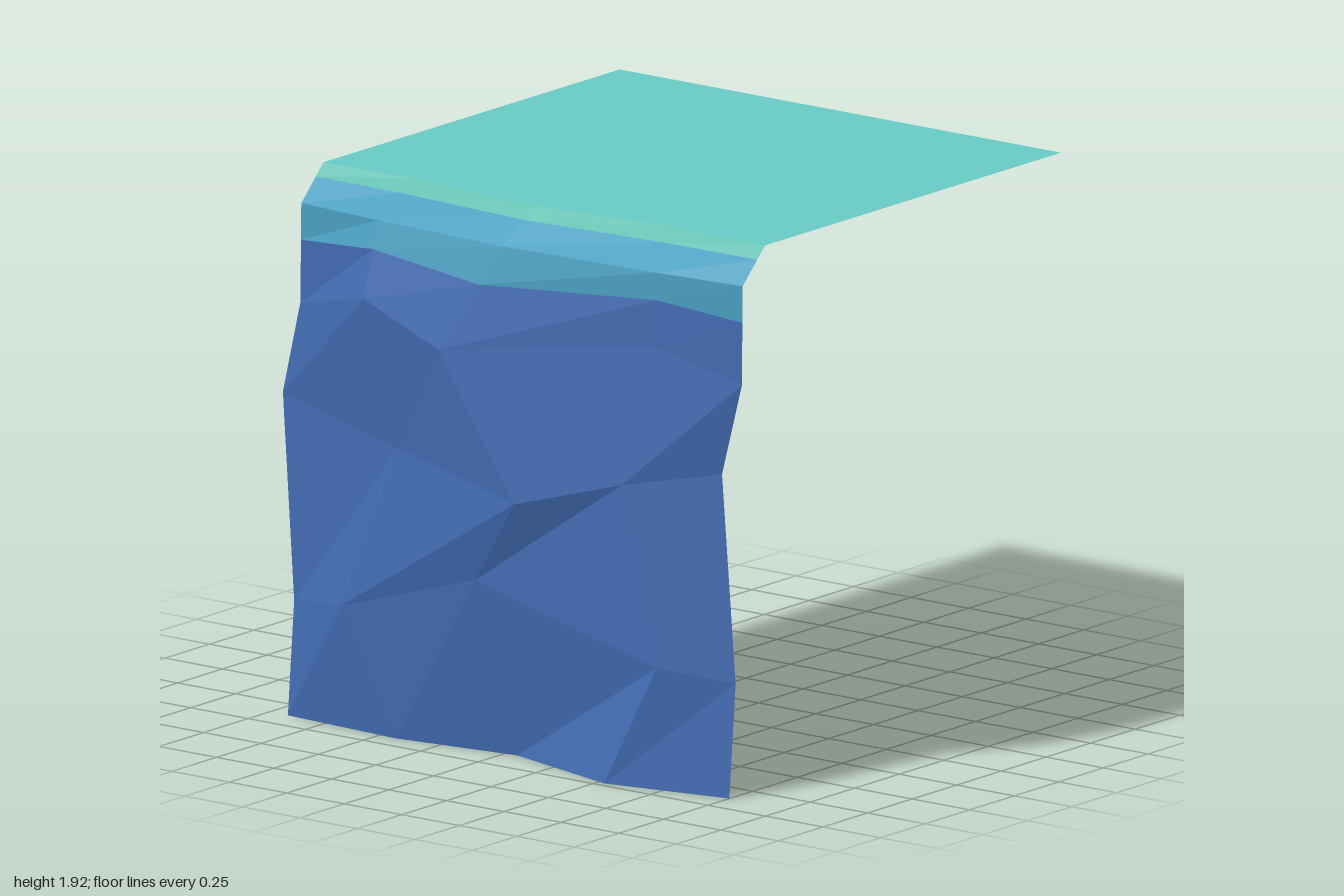
import * as THREE from 'three';

const paint = (name, color) => {
  const m = new THREE.MeshStandardMaterial({ color, side: THREE.DoubleSide });
  m.name = name;
  return m;
};

// Faceted sheet through consecutive rows of [x, y, z] points
function sheet(name, rows, material) {
  const pos = [];
  for (let r = 0; r < rows.length - 1; r++) {
    for (let c = 0; c < rows[r].length - 1; c++) {
      const a = rows[r][c], b = rows[r][c + 1];
      const d = rows[r + 1][c], e = rows[r + 1][c + 1];
      pos.push(...a, ...b, ...e, ...a, ...e, ...d);
    }
  }
  const g = new THREE.BufferGeometry();
  g.setAttribute('position', new THREE.Float32BufferAttribute(pos, 3));
  g.computeVertexNormals(); // unshared corners give flat facets
  const mesh = new THREE.Mesh(g, material);
  mesh.name = name;
  return mesh;
}

// Row of points part of the way from one row to the next
const between = (p, q, t) => p.map((v, i) => v.map((n, k) => n + (q[i][k] - n) * t));

export function createModel() {
  const group = new THREE.Group();
  group.name = 'cliffTile';

  const teal = paint('top teal', 0x69cbc5);
  const green = paint('rim green', 0x62bfb1);
  const cyan = paint('band cyan', 0x4a9fc0);
  const blue = paint('cliff blue', 0x426bb2);

  // Rows run from the front edge (+z) to the back edge (-z)
  const rim = [[-0.68, 1.92, 1], [-0.67, 1.92, 0.58], [-0.72, 1.92, 0.03], [-0.67, 1.92, -0.53], [-0.68, 1.92, -0.92]];
  const crease = [[-0.805, 1.8, 1], [-0.835, 1.8, 0.65], [-0.865, 1.8, 0], [-0.835, 1.8, -0.56], [-0.805, 1.8, -0.92]];
  const upper = [[-0.81, 1.45, 1], [-0.845, 1.54, 0.655], [-0.957, 1.42, -0.206], [-0.92, 1.54, -0.56], [-0.81, 1.45, -0.92]];
  const middle = [[-0.805, 1.12, 0.91], [-0.917, 1.05, 0.56], [-0.98, 0.93, 0.14], [-0.893, 1.025, -0.43], [-0.805, 1.12, -1]];
  const lower = [[-0.845, 0.4, 1], [-0.935, 0.43, 0.725], [-0.93, 0.62, -0.067], [-0.93, 0.44, -0.65], [-0.845, 0.4, -0.92]];
  const foot = [[-0.88, 0, 1], [-0.975, 0, 0.53], [-0.845, 0, 0.05], [-0.91, 0, -0.43], [-0.88, 0, -0.92]];

  // Flat top, sloping lip, then the rough cliff face
  const far = rim.map(([, y, z]) => [0.98, y, z]);
  const lipLine = between(rim, crease, 0.35);
  const bandLine = between(crease, upper, 0.37);

  group.add(
    sheet('top', [far, rim], teal),
    sheet('rim', [rim, lipLine], green),
    sheet('lip', [lipLine, crease], cyan),
    sheet('upperBand', [crease, bandLine], cyan),
    sheet('cliffFace', [bandLine, upper, middle, lower, foot], blue),
  );
  return group;
}
